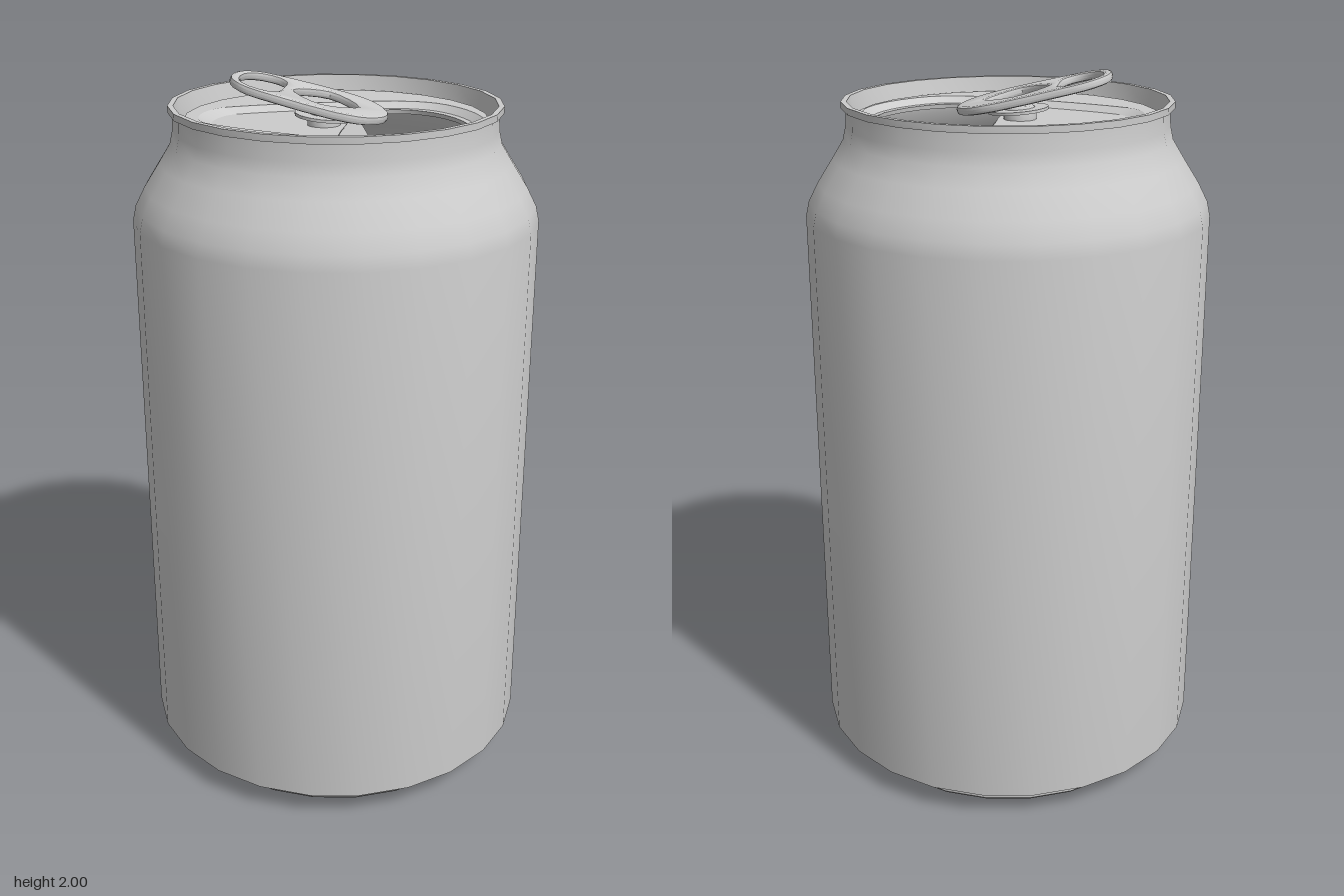
import * as THREE from 'three';
import { toCreasedNormals } from 'three/addons/utils/BufferGeometryUtils.js';

const SIDES = 24;
const FLOOR_Y = 1.868, LID_Y = 1.885;
const TAB_AXIS = 0.02; // sideways offset of the tab and opening

const material = new THREE.MeshStandardMaterial({ color: 0xcccccc, side: THREE.DoubleSide });

function addMesh(parent, name, geometry) {
  const mesh = new THREE.Mesh(geometry, material);
  mesh.name = name;
  parent.add(mesh);
  return mesh;
}

// Smooth closed outline from half a contour, mirrored across the tab axis
function outline(half, count) {
  const mirrored = half.slice(1, -1).reverse().map(([u, w]) => [u, -w]);
  const pts = [...half, ...mirrored].map(([u, w]) => new THREE.Vector3(u, w + TAB_AXIS, 0));
  return new THREE.CatmullRomCurve3(pts, true).getPoints(count).slice(0, -1)
    .map((p) => new THREE.Vector2(p.x, p.y));
}

const scaled = (pts, s) => pts.map((p) =>
  new THREE.Vector2(0.1 + (p.x - 0.1) * s, TAB_AXIS + (p.y - TAB_AXIS) * s));

// Plan points (x, z) become a shape which lies flat once turned by -90 degrees
const toPlan = (pts) => pts.map((p) => new THREE.Vector2(p.x, -p.y));

function plate(pts, holes = []) {
  const shape = new THREE.Shape(toPlan(pts));
  shape.holes = holes.map((h) => new THREE.Path(toPlan(h)));
  return shape;
}

const flat = (shape, y) => new THREE.ShapeGeometry(shape).rotateX(-Math.PI / 2).translate(0, y, 0);

// Band joining two closed plan outlines at different heights
function band(a, ya, b, yb) {
  const positions = [], index = [], n = a.length;
  for (let i = 0; i < n; i++) {
    positions.push(a[i].x, ya, a[i].y, b[i].x, yb, b[i].y);
    const p = 2 * i, q = 2 * ((i + 1) % n);
    index.push(p, q, p + 1, q, q + 1, p + 1);
  }
  const g = new THREE.BufferGeometry();
  g.setAttribute('position', new THREE.Float32BufferAttribute(positions, 3));
  g.setIndex(index);
  g.computeVertexNormals();
  return g;
}

export function createModel() {
  const model = new THREE.Group();
  model.name = 'drinkCan';

  // Body: domed base, foot, wall, shoulder, neck and rolled rim in one profile
  const profile = [
    [0, 0.14], [0.12, 0.132], [0.24, 0.108], [0.34, 0.072], [0.42, 0.03], [0.447, 0.006],
    [0.455, 0], [0.468, 0], [0.475, 0.008], [0.475, 0.03], [0.49, 0.042], [0.555, 0.075],
    [0.555, 1.62], [0.546, 1.66], [0.52, 1.71], [0.478, 1.775], [0.447, 1.825], [0.439, 1.86],
    [0.436, 1.907], [0.449, 1.907], [0.449, 1.925], [0.434, 1.925],
    [0.422, 1.872], [0.416, 1.872], [0.41, LID_Y],
  ].map(([x, y]) => new THREE.Vector2(x, y));
  const body = addMesh(model, 'body', toCreasedNormals(new THREE.LatheGeometry(profile, SIDES), 0.7));
  body.rotation.y = 0.035;

  // Everything on the lid shares a frame whose x runs along the pull tab
  const top = new THREE.Group();
  top.name = 'lid';
  top.rotation.y = -0.489;
  model.add(top);

  const recess = outline([[-0.355, 0], [-0.33, 0.09], [-0.27, 0.13], [-0.11, 0.195],
    [0.14, 0.262], [0.25, 0.245], [0.35, 0.14], [0.392, 0]], 56);
  const opening = outline([[0.03, 0], [0.03, 0.15], [0.055, 0.195], [0.11, 0.225],
    [0.18, 0.232], [0.26, 0.195], [0.33, 0.11], [0.365, 0]], 32);
  const recessEdge = scaled(recess, 1.03), floorEdge = scaled(recess, 0.955);
  const rim = Array.from({ length: SIDES }, (_, i) => {
    const a = (i / SIDES) * Math.PI * 2;
    return new THREE.Vector2(0.41 * Math.cos(a), 0.41 * Math.sin(a));
  });

  addMesh(top, 'lidPanel', flat(plate(rim, [recessEdge]), LID_Y));
  addMesh(top, 'recessSlope', band(recessEdge, LID_Y, floorEdge, FLOOR_Y));
  addMesh(top, 'recessFloor', flat(plate(floorEdge, [opening]), FLOOR_Y));
  addMesh(top, 'openingLip', band(opening, FLOOR_Y, scaled(opening, 1.01), FLOOR_Y - 0.012));

  // Flap: the panel of the opening, bent down around its hinge
  const flap = addMesh(top, 'openingFlap', flat(plate(opening), 0).translate(-0.03, 0, 0));
  flap.position.set(0.03, FLOOR_Y - 0.002, 0);
  flap.rotation.z = -1.13;

  // Pull tab with a finger hole and a rivet hole
  const tabOutline = outline([[-0.29, 0], [-0.28, 0.06], [-0.235, 0.112], [-0.16, 0.13],
    [0.02, 0.138], [0.09, 0.11], [0.13, 0.055], [0.142, 0]], 32);
  const fingerHole = outline([[-0.265, 0], [-0.253, 0.06], [-0.22, 0.095],
    [-0.175, 0.098], [-0.152, 0.07], [-0.148, 0]], 20);
  const rivetHole = outline([[-0.118, 0], [-0.03, 0.088], [0.058, 0]], 16);
  const bevel = 0.009;
  const tabGeometry = new THREE.ExtrudeGeometry(plate(tabOutline, [fingerHole, rivetHole]), {
    depth: 0.006, bevelThickness: bevel, bevelSize: bevel, bevelOffset: -bevel, bevelSegments: 2,
  });
  tabGeometry.rotateX(-Math.PI / 2).translate(-0.13, -0.003, 0);
  const tab = addMesh(top, 'pullTab', toCreasedNormals(tabGeometry, 0.7));
  tab.position.set(0.13, 1.892, 0);
  tab.rotation.z = -0.23;

  // Rivet and the tongue which holds the tab to the lid
  const tongue = addMesh(top, 'rivetTongue', new THREE.CylinderGeometry(0.084, 0.084, 0.008, 16));
  tongue.position.set(-0.025, 1.893, TAB_AXIS);
  tongue.rotation.z = -0.08;
  const rivetProfile = [[0.045, FLOOR_Y], [0.045, 1.897], [0.036, 1.905], [0, 1.907]]
    .map(([x, y]) => new THREE.Vector2(x, y));
  const rivet = addMesh(top, 'rivet', new THREE.LatheGeometry(rivetProfile, 16));
  rivet.position.set(-0.03, 0, TAB_AXIS);

  return model;
}
